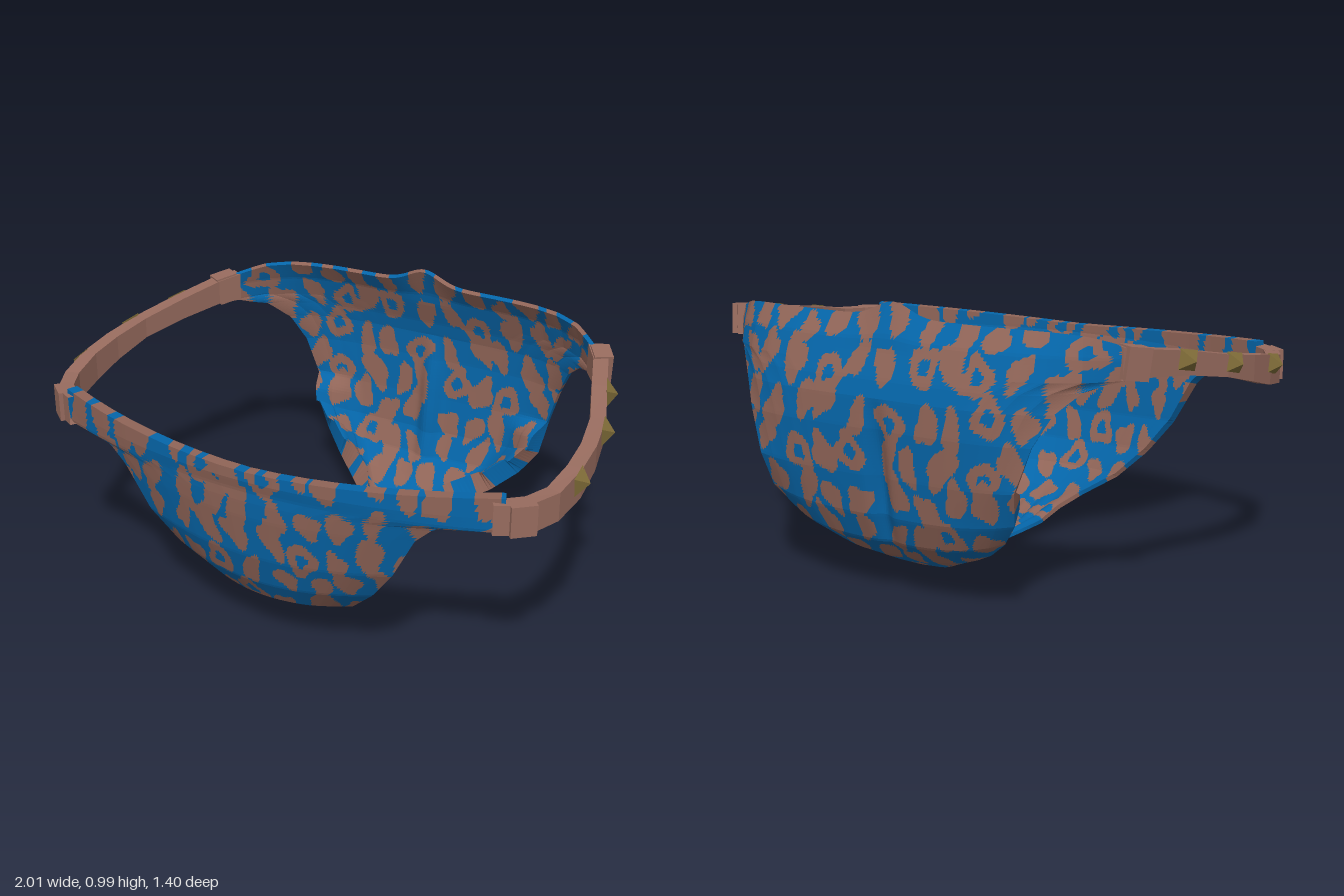
import * as THREE from 'three';

const mat = (name, color, extra = {}) => {
  const m = new THREE.MeshStandardMaterial({ color, flatShading: true, ...extra });
  m.name = name;
  return m;
};
const { smoothstep, lerp } = THREE.MathUtils;

// Fabric stations from front waist, under, to back waist:
// centre y, centre z, edge x, edge y, edge z
const STATIONS = [
  [.735, .70, .83, .775, .53], [.70, .70, .83, .70, .53], [.66, .69, .82, .655, .535],
  [.62, .69, .62, .64, .585], [.56, .685, .555, .58, .59], [.40, .66, .47, .42, .575],
  [.28, .62, .38, .30, .54], [.19, .56, .28, .20, .49], [.12, .46, .17, .13, .42],
  [.075, .35, .12, .09, .33], [.035, .24, .09, .05, .24], [.005, .10, .075, .045, .10],
  [.02, -.06, .07, .05, -.06], [.035, -.20, .075, .07, -.20], [.05, -.32, .10, .09, -.31],
  [.07, -.44, .20, .13, -.41], [.13, -.55, .33, .18, -.52], [.20, -.63, .42, .25, -.585],
  [.30, -.67, .48, .33, -.625], [.44, -.69, .50, .45, -.665], [.60, -.70, .55, .60, -.645],
  [.70, -.695, .60, .70, -.60], [.76, -.68, .67, .77, -.53], [.80, -.665, .76, .795, -.43],
  [.88, -.635, .755, .86, -.43], [.95, -.585, .74, .905, -.43],
];

// Strap stations, front to back: x, z, bottom y, top y
const STRAP = [
  [.79, .54, .655, .76], [.872, .49, .65, .755], [.925, .38, .66, .76], [.942, .25, .68, .785],
  [.937, .12, .715, .805], [.91, -.03, .755, .83], [.847, -.20, .785, .865],
  [.79, -.36, .80, .89], [.74, -.44, .80, .905],
];

const hash = (i, j, k) => {
  const v = Math.sin(i * 127.1 + j * 311.7 + k * 74.7) * 43758.5453;
  return v - Math.floor(v);
};

// Irregular spots on a jittered grid, some with a hollow centre
function isSpot(x, s) {
  const w = .12, h = .145, ci = Math.floor(x / w), cj = Math.floor(s / h);
  for (let i = ci - 1; i <= ci + 1; i++) for (let j = cj - 1; j <= cj + 1; j++) {
    const dx = x - (i + .5 + (hash(i, j, 1) - .5) * .4 + (j & 1) * .3) * w;
    const dy = s - (j + .5 + (hash(i, j, 2) - .5) * .5) * h;
    const a = (hash(i, j, 3) - .5) * 1.2, c = Math.cos(a), n = Math.sin(a);
    const big = hash(i, j, 7) > .85;
    const px = (dx * c + dy * n) / (big ? .052 : .029 + .019 * hash(i, j, 4));
    const py = (dy * c - dx * n) / (big ? .07 : .052 + .034 * hash(i, j, 5));
    const t = Math.atan2(py, px);
    const r = Math.hypot(px, py) / (1 + .13 * Math.sin(3 * t + 6 * hash(i, j, 6)) + .09 * Math.sin(4 * t + i));
    if (r < 1 && !(big && r < .4)) return true;
  }
  return false;
}

// Fabric thickness: padded front, thin back, wide hem along the back leg openings
function thickness(u, y, z) {
  if (z > 0) return lerp(.016, .04, smoothstep(y, .1, .7));
  const hem = smoothstep(y, .08, .14) * (1 - smoothstep(y, .38, .46)) * smoothstep(Math.abs(u), .6, 1);
  return .016 + .065 * hem;
}

// Thick shell: outer and inner grids joined by a rim, faces sorted by colour
function fabricGeometry() {
  const ROWS = 230, COLS = 130, N = COLS + 1, count = (ROWS + 1) * N;
  const lengths = [0];
  for (let i = 1; i < STATIONS.length; i++) {
    const p = STATIONS[i - 1], q = STATIONS[i];
    lengths.push(lengths[i - 1] + Math.hypot(q[0] - p[0], q[1] - p[1]));
  }
  const total = lengths.at(-1), pos = [], uv = [];
  for (let r = 0, k = 0; r <= ROWS; r++) {
    const s = total * r / ROWS;
    while (k < STATIONS.length - 2 && s > lengths[k + 1]) k++;
    const f = (s - lengths[k]) / (lengths[k + 1] - lengths[k]);
    const [cy, cz, ex, ey, ez] = STATIONS[k].map((v, m) => lerp(v, STATIONS[k + 1][m], f));
    // V-shaped underneath, rounded in front, squarer behind
    const power = cz > 0 ? lerp(1, 2, smoothstep(cz, .2, .4))
      : lerp(1, 3.5, smoothstep(-cz, .2, .45)) + 1.5 * smoothstep(cy, .3, .5);
    const rise = cz > 0 ? 1 - .35 * smoothstep(cy, .6, .73) : 1 + .8 * smoothstep(cy, .85, .95);
    const gather = .007 * (1 - smoothstep(Math.abs(cz), .2, .5));
    for (let c = 0; c <= COLS; c++) {
      const u = 2 * c / COLS - 1, x = ex * u;
      // faceted curve across the panel
      const b = Math.min(7, Math.floor(Math.abs(u) * 8)), g = Math.abs(u) * 8 - b;
      const w = lerp((b / 8) ** power, ((b + 1) / 8) ** power, g);
      let y = lerp(cy, ey, w ** rise) + gather * (1 - Math.cos(u * 4 * Math.PI)), z = lerp(cz, ez, w);
      if (cz < 0) {
        y += .05 * Math.exp(-((x / .09) ** 2)) * Math.max(0, (cy - .85) / .1); // peak at back waist
        if (cy > .1 && cy < .7) z += .035 * Math.exp(-((x / .035) ** 2)) * Math.sin((cy - .1) / .6 * Math.PI); // seam fold
      }
      pos.push(x, y, z);
      uv.push([x, s + .08, u]);
    }
  }
  const faces = [[], []];
  const surface = [];
  for (let r = 0; r < ROWS; r++) for (let c = 0; c < COLS; c++) {
    const a = r * N + c;
    surface.push([a, a + N, a + 1], [a + 1, a + N, a + N + 1]);
  }
  const outer = new THREE.BufferGeometry();
  outer.setAttribute('position', new THREE.Float32BufferAttribute(pos, 3));
  outer.setIndex(surface.flat());
  outer.computeVertexNormals();
  const nrm = outer.attributes.normal;
  for (let i = 0; i < count; i++) {
    const [x, y, z] = pos.slice(i * 3, i * 3 + 3), t = thickness(uv[i][2], y, z);
    pos.push(x - nrm.getX(i) * t, y - nrm.getY(i) * t, z - nrm.getZ(i) * t);
  }
  const add = (i, j, k) => {
    const p = [i, j, k].map(v => uv[v % count]);
    const x = (p[0][0] + p[1][0] + p[2][0]) / 3, s = (p[0][1] + p[1][1] + p[2][1]) / 3;
    faces[isSpot(x, s) ? 1 : 0].push(i, j, k);
  };
  for (const [i, j, k] of surface) {
    add(i, j, k);
    add(i + count, k + count, j + count);
  }
  const rim = (i, j) => {
    add(i, j, i + count);
    add(j, j + count, i + count);
  };
  for (let c = 0; c < COLS; c++) {
    rim(c, c + 1);
    rim(ROWS * N + c + 1, ROWS * N + c);
  }
  for (let r = 0; r < ROWS; r++) {
    rim((r + 1) * N, r * N);
    rim(r * N + COLS, (r + 1) * N + COLS);
  }
  const geo = new THREE.BufferGeometry();
  geo.setAttribute('position', new THREE.Float32BufferAttribute(pos, 3));
  geo.setIndex(faces.flat());
  geo.addGroup(0, faces[0].length, 0);
  geo.addGroup(faces[0].length, faces[1].length, 1);
  geo.computeVertexNormals();
  return geo;
}

// Rectangular band swept along the hip; side is +1 or -1
function strapGeometry(side) {
  const pos = [], idx = [], half = .026, last = STRAP.length - 1;
  STRAP.forEach(([x, z, y0, y1], i) => {
    const p = STRAP[Math.max(0, i - 1)], q = STRAP[Math.min(last, i + 1)];
    const d = Math.hypot(q[0] - p[0], q[1] - p[1]);
    const nx = -(q[1] - p[1]) / d * half, nz = (q[0] - p[0]) / d * half;
    for (const [o, y] of [[1, y0], [1, y1], [-1, y1], [-1, y0]]) pos.push(side * (x + nx * o), y, z + nz * o);
    if (i === last) return;
    for (let k = 0; k < 4; k++) {
      const a = i * 4 + k, b = i * 4 + (k + 1) % 4, c = a + 4, e = b + 4;
      idx.push(...(side > 0 ? [a, c, b, b, c, e] : [a, b, c, b, e, c]));
    }
  });
  const geo = new THREE.BufferGeometry();
  geo.setAttribute('position', new THREE.Float32BufferAttribute(pos, 3));
  geo.setIndex(idx);
  geo.computeVertexNormals();
  return geo;
}

export function createModel() {
  const blue = mat('blue fabric', 0x0565a8);
  const brown = mat('brown spots', 0x8f6457);
  const leather = mat('brown strap', 0x976b5e, { side: THREE.DoubleSide });
  const brass = mat('dull brass', 0x7f6c38);
  const model = new THREE.Group();
  model.name = 'spottedBriefs';
  const place = (parent, name, geo, material, p, n, roll = 0) => {
    const mesh = new THREE.Mesh(geo, material);
    mesh.name = name;
    mesh.position.set(...p);
    mesh.lookAt(p[0] + n[0], p[1] + n[1], p[2] + n[2]);
    mesh.rotateZ(roll);
    parent.add(mesh);
  };

  const fabric = new THREE.Mesh(fabricGeometry(), [blue, brown]);
  fabric.name = 'fabric';
  model.add(fabric);

  const studGeo = new THREE.CylinderGeometry(0, .057, .04, 4).rotateY(Math.PI / 4).rotateX(Math.PI / 2).scale(1, .85, 1);
  const keeperGeo = new THREE.BoxGeometry(.085, .106, .066);
  for (const side of [1, -1]) {
    const hip = new THREE.Group();
    hip.name = side > 0 ? 'leftHipStrap' : 'rightHipStrap';
    const band = new THREE.Mesh(strapGeometry(side), leather);
    band.name = 'band';
    hip.add(band);
    // Keepers cover the joins with the fabric
    place(hip, 'frontKeeper', keeperGeo, leather, [side * .868, .704, .493], [side * .65, 0, .76]);
    place(hip, 'backKeeper', keeperGeo, leather, [side * .775, .85, -.405], [side * .85, 0, -.53], side * .15);
    // Pyramid studs, tilted along the band
    for (const [x, y, z, nz] of [[.984, .75, .27, -.05], [.957, .798, -.01, -.25], [.887, .835, -.22, -.37]])
      place(hip, 'stud', studGeo, brass, [side * x, y, z], [side, 0, nz], side * .18);
    model.add(hip);
  }
  return model;
}
